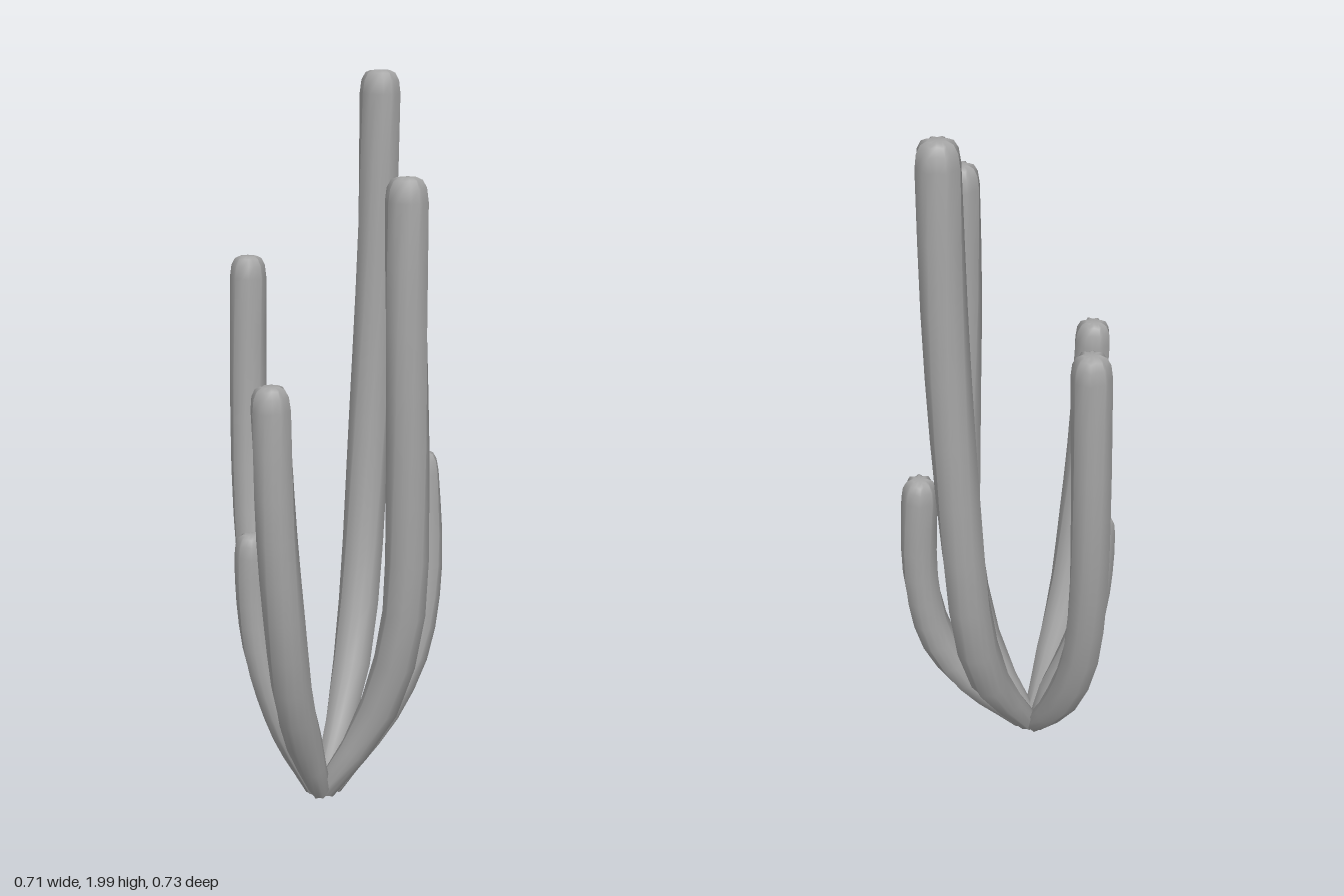
import * as THREE from 'three';

const RIBS = 8;
const SIDES = RIBS * 2;
const BODY_RINGS = 11;

// Ribbed, slowly twisting column swept along a curve, with a pleated tip
function ribbedColumn(points, radius, turn) {
  const curve = new THREE.CatmullRomCurve3(points.map(p => new THREE.Vector3(...p)), false, 'centripetal');
  const length = curve.getLength();
  const rings = [];
  const uEnd = 1 - 0.06 / length;
  for (let i = 0; i <= BODY_RINGS; i++) {
    const k = i / BODY_RINGS;
    const swell = Math.min(1, 0.55 + k * 2.2) * (1 - 0.1 * Math.max(0, k - 0.4));
    rings.push({ u: k * uEnd, r: radius * swell, depth: 0.14 });
  }
  rings.push({ u: 1 - 0.025 / length, r: radius * 0.86, depth: 0.18 });
  rings.push({ u: 1 - 0.006 / length, r: radius * 0.68, depth: 0.26 });
  rings.push({ u: 1, r: radius * 0.45, depth: 0.3 });

  const pos = [], index = [];
  for (const { u, r, depth } of rings) {
    const c = curve.getPointAt(u), t = curve.getTangentAt(u);
    const a = new THREE.Vector3(1, 0, 0).addScaledVector(t, -t.x).normalize();
    const b = new THREE.Vector3().crossVectors(t, a);
    for (let j = 0; j < SIDES; j++) {
      const ang = (j / SIDES) * Math.PI * 2 + u * turn;
      const rr = r * (j % 2 ? 1 - depth : 1);
      const p = c.clone().addScaledVector(a, Math.cos(ang) * rr).addScaledVector(b, Math.sin(ang) * rr);
      pos.push(p.x, Math.max(0, p.y), p.z);
    }
  }
  for (let i = 0; i < rings.length - 1; i++) {
    for (let j = 0; j < SIDES; j++) {
      const n = (j + 1) % SIDES;
      const p = i * SIDES + j, q = i * SIDES + n;
      index.push(p, q, q + SIDES, p, q + SIDES, p + SIDES);
    }
  }
  // Close both ends with fans
  const bottom = pos.length / 3, top = bottom + 1, last = (rings.length - 1) * SIDES;
  pos.push(...curve.getPointAt(0).toArray(), ...curve.getPointAt(1).toArray());
  for (let j = 0; j < SIDES; j++) {
    const n = (j + 1) % SIDES;
    index.push(bottom, n, j, top, last + j, last + n);
  }
  const geo = new THREE.BufferGeometry();
  geo.setAttribute('position', new THREE.Float32BufferAttribute(pos, 3));
  geo.setIndex(index);
  geo.computeVertexNormals();
  return geo;
}

export function createModel() {
  const group = new THREE.Group();
  group.name = 'cactus';
  const skin = new THREE.MeshStandardMaterial({ color: 0xa6a6a6 });
  skin.name = 'grey skin';

  // Centre line of each arm, from the shared root to its tip
  const arms = [
    { name: 'tallBackArm', r: 0.059, turn: 1.2, path: [[0.05, 0.03, 0.02], [0.035, 0.18, -0.08], [0.01, 0.36, -0.185], [-0.01, 0.6, -0.255], [-0.015, 1.0, -0.295], [-0.005, 1.5, -0.31], [0, 2, -0.31]] },
    { name: 'leftArm', r: 0.058, turn: 1.2, path: [[0.06, 0.03, 0.03], [0.13, 0.15, 0], [0.2, 0.3, -0.025], [0.275, 0.57, -0.02], [0.295, 1.0, 0], [0.292, 1.4, 0.015], [0.285, 1.77, 0.015]] },
    { name: 'rightArm', r: 0.054, turn: 0.7, path: [[0.03, 0.03, 0.025], [-0.1, 0.21, -0.01], [-0.215, 0.46, -0.045], [-0.275, 0.75, -0.08], [-0.3, 1.05, -0.105], [-0.305, 1.5, -0.12]] },
    { name: 'frontArm', r: 0.055, turn: 1.2, path: [[0.055, 0.03, 0.045], [0.065, 0.2, 0.13], [0.085, 0.4, 0.22], [0.1, 0.62, 0.275], [0.1, 0.9, 0.31], [0.09, 1.28, 0.32]] },
    { name: 'backLeftArm', r: 0.052, turn: 0.9, path: [[0.07, 0.03, 0.01], [0.11, 0.14, -0.06], [0.16, 0.27, -0.145], [0.195, 0.42, -0.21], [0.205, 0.65, -0.25], [0.183, 0.985, -0.255]] },
    { name: 'shortFrontArm', r: 0.049, turn: 0.7, path: [[0.035, 0.03, 0.045], [0, 0.15, 0.075], [-0.035, 0.26, 0.105], [-0.08, 0.45, 0.14], [-0.098, 0.62, 0.15], [-0.1, 0.805, 0.153]] },
  ];
  for (const { name, r, turn, path } of arms) {
    const mesh = new THREE.Mesh(ribbedColumn(path, r, turn), skin);
    mesh.name = name;
    group.add(mesh);
  }
  return group;
}
